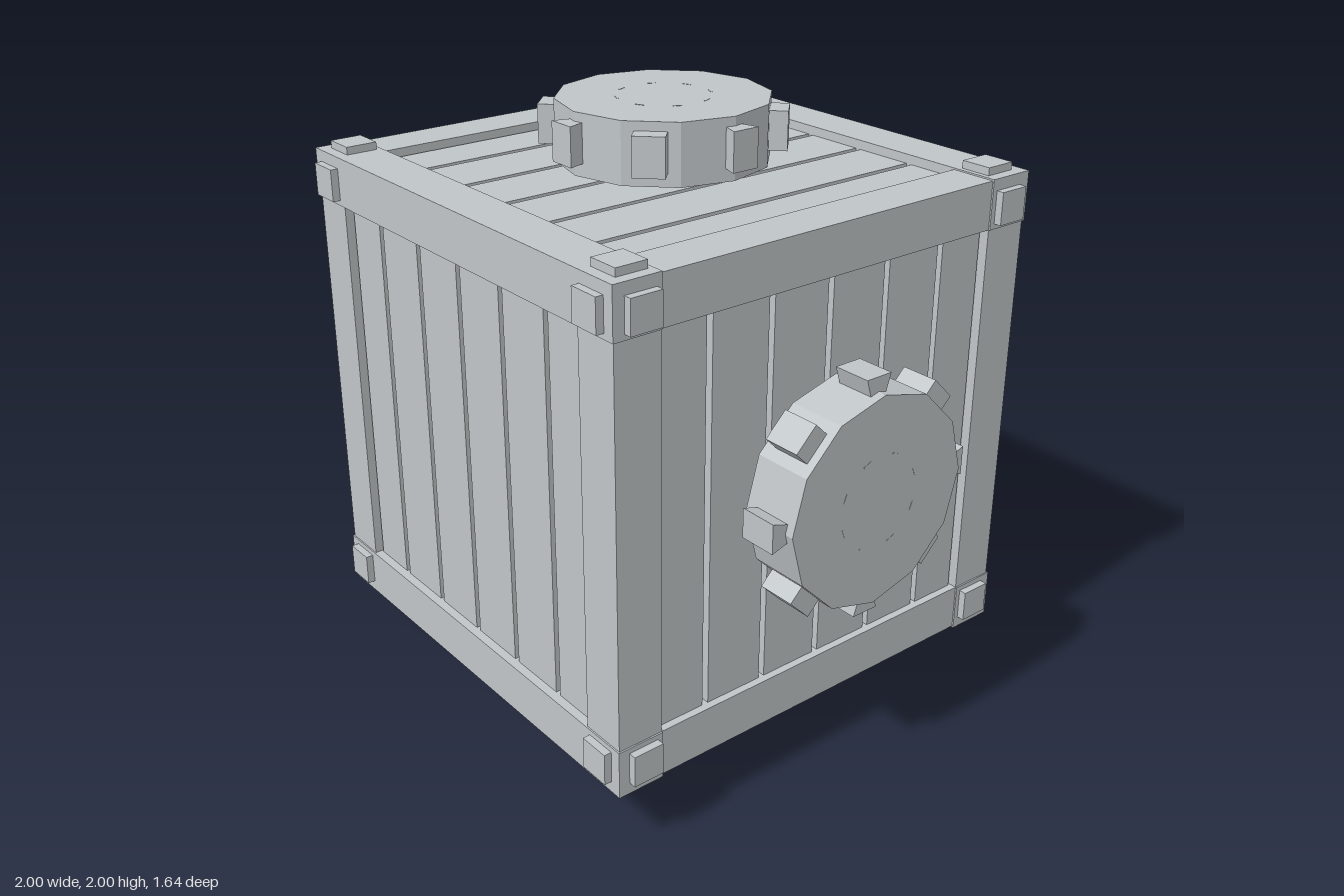
import * as THREE from 'three';

export function createModel() {
  const model = new THREE.Group();
  model.name = 'crate';
  const metal = new THREE.MeshStandardMaterial({ color: 0xc0c5c8, flatShading: true });
  metal.name = 'pale grey metal';

  const add = (parent, name, geometry, x = 0, y = 0, z = 0) => {
    const mesh = new THREE.Mesh(geometry, metal);
    mesh.name = name;
    mesh.position.set(x, y, z);
    parent.add(mesh);
    return mesh;
  };
  const box = (w, h, d) => new THREE.BoxGeometry(w, h, d);

  // Everything is built around the cube centre, then lifted
  const body = new THREE.Group();
  body.name = 'body';
  body.position.y = 1;
  model.add(body);

  const H = 0.79, B = 0.155, C = H - B / 2;
  add(body, 'core', box(1.47, 1.47, 1.47));

  // Frame: beams along x stand slightly proud of posts and side beams
  for (const a of [-1, 1]) for (const b of [-1, 1]) {
    add(body, 'crossBeam', box(1.59, 0.16, 0.16), 0, a * 0.715, b * 0.715);
    add(body, 'post', box(B, 1.5, B), a * C, 0, b * C);
    add(body, 'sideBeam', box(B, B, 1.5), a * C, b * C, 0);
  }

  // Corner pads on all three outer faces of each corner
  for (const x of [-1, 1]) for (const y of [-1, 1]) for (const z of [-1, 1]) {
    const p = 0.705, o = 0.795, s = 0.105, t = 0.05;
    add(body, 'cornerPad', box(t, s, s), x * o, y * p, z * p);
    add(body, 'cornerPad', box(s, t, s), x * p, y * o, z * p);
    add(body, 'cornerPad', box(s, s, t), x * p, y * p, z * o);
  }

  // Six planks per face, with narrow gaps between them
  const faces = [[0, 0], [0, Math.PI], [0, Math.PI / 2], [0, -Math.PI / 2],
    [-Math.PI / 2, 0], [Math.PI / 2, 0]];
  for (const [rx, ry] of faces) {
    const panel = new THREE.Group();
    panel.name = 'plankPanel';
    panel.rotation.set(rx, ry, 0);
    body.add(panel);
    for (let i = 0; i < 6; i++) {
      add(panel, 'plank', box(i === 0 || i === 5 ? 0.165 : 0.204, 1.29, 0.04),
        [-0.543, -0.337, -0.1125, 0.1125, 0.337, 0.543][i], 0, 0.745);
    }
  }

  // Toothed wheel pointing along +y
  const tooth = (inner, outer) => {
    const s = new THREE.Shape([
      new THREE.Vector2(-inner / 2, 0.3), new THREE.Vector2(inner / 2, 0.3),
      new THREE.Vector2(outer / 2, 0.387), new THREE.Vector2(-outer / 2, 0.387)]);
    const g = new THREE.ExtrudeGeometry(s, { depth: 0.125, bevelEnabled: false });
    return g.rotateX(Math.PI / 2).translate(0, 0.97, 0);
  };
  const flaredTooth = tooth(0.04, 0.095), straightTooth = tooth(0.1, 0.1);
  const wheel = (angle) => {
    const g = new THREE.Group();
    g.name = 'wheel';
    g.rotation.z = angle;
    body.add(g);
    add(g, 'neck', new THREE.CylinderGeometry(0.165, 0.165, 0.1, 12), 0, 0.76, 0);
    add(g, 'disc', new THREE.CylinderGeometry(0.34, 0.34, 0.196, 12), 0, 0.901, 0);
    for (let i = 0; i < 8; i++) {
      add(g, 'tooth', i % 2 ? straightTooth : flaredTooth).rotation.y = i * Math.PI / 4;
      // Fine marks around the hub
      const a = (i + 0.5) * Math.PI / 4;
      const mark = add(g, 'hubMark', box(0.03, 0.002, 0.004),
        Math.sin(a) * 0.15, 0.999, Math.cos(a) * 0.15);
      mark.rotation.y = a;
    }
  };
  for (let i = 0; i < 4; i++) wheel(i * Math.PI / 2);

  return model;
}
